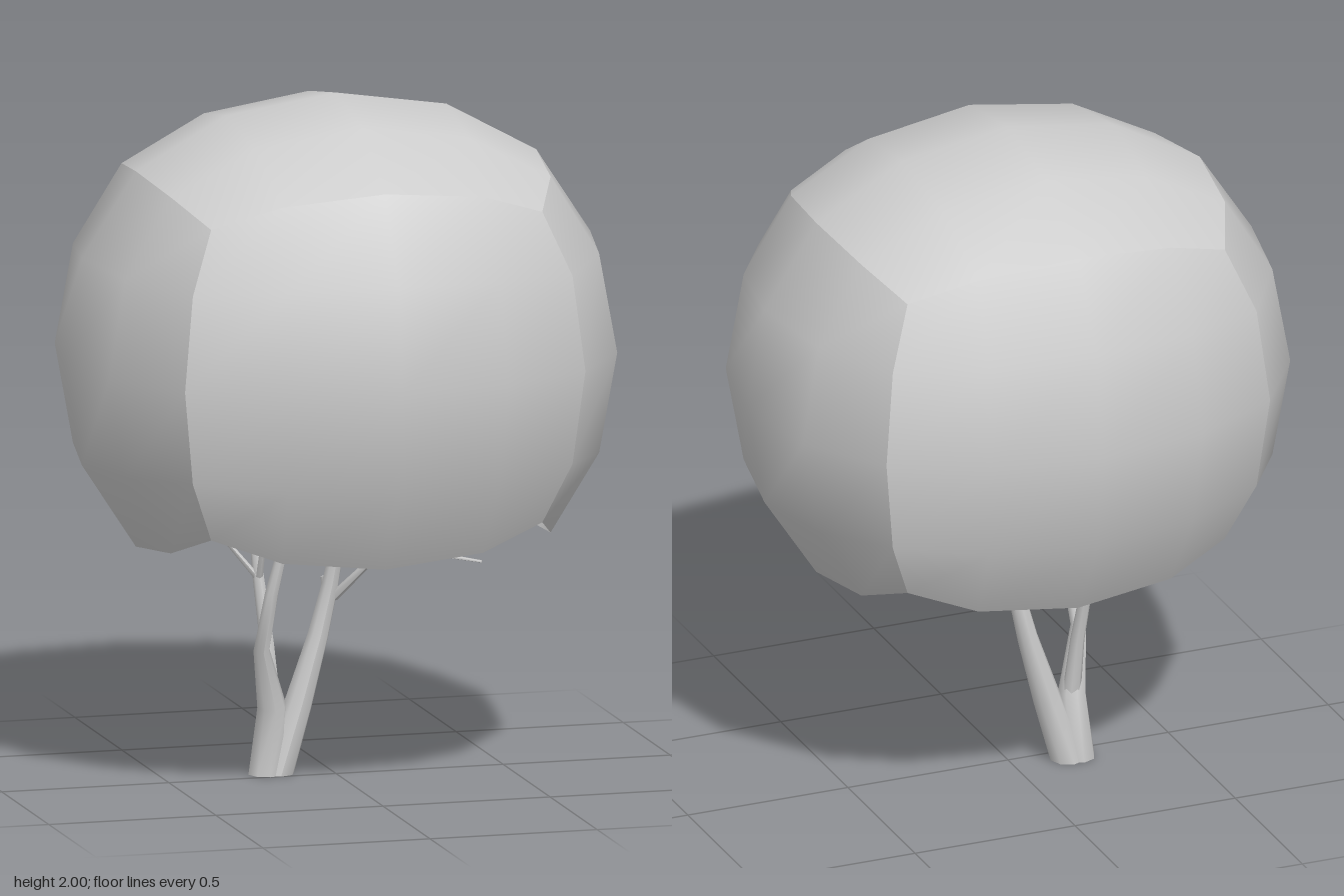
import * as THREE from 'three';

const grey = new THREE.MeshStandardMaterial({ color: 0xcccccc, side: THREE.DoubleSide });
grey.name = 'paleGrey';

// Tapered tube through points [x, y, z, radius]
function branch(name, pts, sides = 7) {
  const n = pts.length;
  const geo = new THREE.CylinderGeometry(1, 1, 1, sides, n - 1);
  const pos = geo.attributes.position;
  const up = new THREE.Vector3(0, 1, 0);
  const centres = pts.map(p => new THREE.Vector3(p[0], p[1], p[2]));
  const turns = centres.map((c, i) => {
    const dir = centres[Math.min(i + 1, n - 1)].clone().sub(centres[Math.max(i - 1, 0)]).normalize();
    return new THREE.Quaternion().setFromUnitVectors(up, c.y === 0 ? up : dir);
  });
  const v = new THREE.Vector3();
  for (let i = 0; i < pos.count; i++) {
    v.fromBufferAttribute(pos, i);
    const k = Math.round((v.y + 0.5) * (n - 1));
    v.y = 0;
    v.multiplyScalar(pts[k][3]).applyQuaternion(turns[k]).add(centres[k]);
    pos.setXYZ(i, v.x, v.y, v.z);
  }
  geo.computeVertexNormals();
  const mesh = new THREE.Mesh(geo, grey);
  mesh.name = name;
  return mesh;
}

// One bulging 4 x 4 panel of the rounded-cube crown, facing +z before turning
const SIDEWAYS = [[0, 0, 0], [0.405, 0.39, 0.368], [0.735, 0.697, 0.608]];
const OUTWARD = [[1, 0.933, 0.735], [0.933, 0.87, 0.697], [0.735, 0.697, 0.608]];
function crownPanel(name, rx, ry) {
  const geo = new THREE.PlaneGeometry(4, 4, 4, 4);
  const pos = geo.attributes.position;
  for (let k = 0; k < pos.count; k++) {
    const x = Math.round(pos.getX(k)), y = Math.round(pos.getY(k));
    const i = Math.abs(x), j = Math.abs(y);
    pos.setXYZ(k, Math.sign(x) * SIDEWAYS[i][j], Math.sign(y) * SIDEWAYS[j][i], OUTWARD[i][j]);
  }
  geo.rotateX(rx).rotateY(ry);
  geo.scale(0.815, 0.75, 0.713).translate(0, 1.25, 0);
  geo.computeVertexNormals();
  const mesh = new THREE.Mesh(geo, grey);
  mesh.name = name;
  return mesh;
}

export function createModel() {
  const model = new THREE.Group();
  model.name = 'tree';

  // Crown: four sides and a top, open underneath
  const crown = new THREE.Group();
  crown.name = 'crown';
  ['crownFront', 'crownLeft', 'crownBack', 'crownRight'].forEach((name, i) =>
    crown.add(crownPanel(name, 0, i * Math.PI / 2)));
  crown.add(crownPanel('crownTop', -Math.PI / 2, 0));

  // Forked trunk with limbs and twigs
  const trunk = new THREE.Group();
  trunk.name = 'trunk';
  trunk.add(
    branch('leftStem', [
      [-0.165, 0, -0.05, 0.053], [-0.1, 0.2, -0.05, 0.042], [-0.04, 0.4, -0.05, 0.031],
      [-0.005, 0.55, -0.045, 0.025], [0.018, 0.7, -0.025, 0.019], [0.04, 0.85, 0.02, 0.014],
      [0.07, 1.05, 0.07, 0.006]], 8),
    branch('rightStem', [
      [-0.195, 0, -0.05, 0.053], [-0.18, 0.2, -0.045, 0.043], [-0.23, 0.38, 0.025, 0.024],
      [-0.21, 0.55, 0.06, 0.02], [-0.175, 0.7, 0.07, 0.015], [-0.15, 0.95, 0.1, 0.006]], 8),
    branch('backLimb', [
      [-0.175, 0.18, -0.05, 0.028], [-0.185, 0.38, -0.075, 0.021], [-0.2, 0.57, -0.115, 0.017],
      [-0.205, 0.72, -0.155, 0.013], [-0.22, 0.95, -0.2, 0.005]]),
    branch('frontTwig', [
      [0.005, 0.51, -0.045, 0.015], [0.08, 0.62, 0.05, 0.011],
      [0.18, 0.675, 0.15, 0.008], [0.36, 0.655, 0.27, 0.004]], 5),
    branch('rightTwig', [
      [-0.2, 0.56, -0.11, 0.01], [-0.28, 0.66, -0.14, 0.007], [-0.36, 0.745, -0.17, 0.004]], 5),
    branch('innerTwig', [
      [-0.2, 0.56, -0.11, 0.011], [-0.2, 0.7, -0.055, 0.008], [-0.19, 0.85, -0.03, 0.004]], 5),
    branch('upperTwig', [
      [0.018, 0.7, -0.025, 0.014], [0.02, 0.85, -0.06, 0.009], [0.01, 1.02, -0.1, 0.004]], 5),
    branch('stub', [[-0.012, 0.49, -0.05, 0.014], [-0.022, 0.57, -0.06, 0.009]], 5));

  model.add(crown, trunk);
  return model;
}
